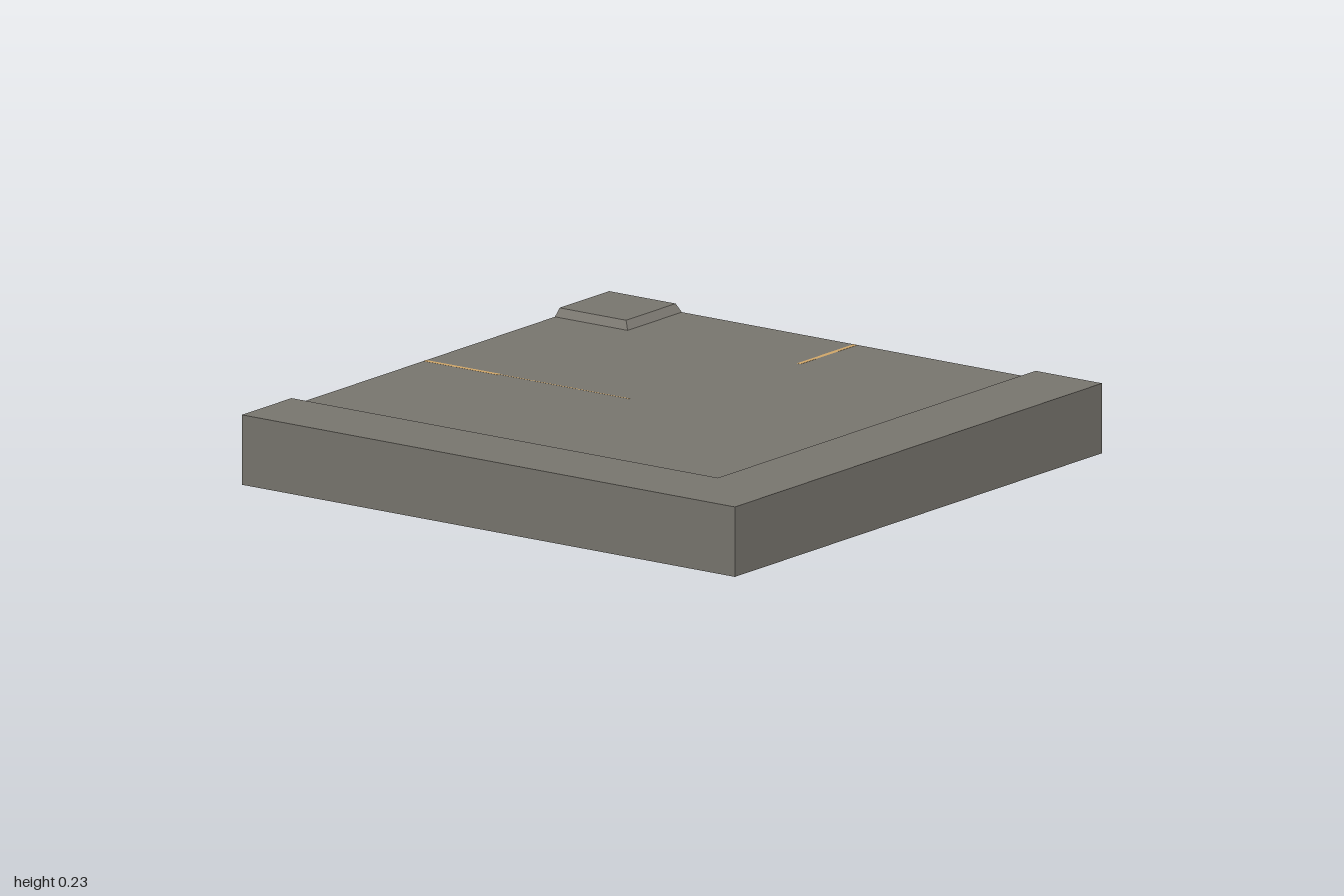
import * as THREE from 'three';

const ROAD = 0.21, TOP = 0.235, INNER = 0.705, OUTER = 0.73;

// Sweeps a four-point [offset, height] profile round a mitred corner and closes both ends.
function cornerSweep(profile, pathAt) {
  const rows = profile.map(([d, y]) => pathAt(d).map(([x, z]) => [x, y, z]));
  const pos = [];
  const quad = (a, b, c, d) => pos.push(...a, ...b, ...c, ...a, ...c, ...d);
  for (let i = 0; i < rows.length - 1; i++) {
    for (let j = 0; j < 2; j++) {
      quad(rows[i][j], rows[i][j + 1], rows[i + 1][j + 1], rows[i + 1][j]);
    }
  }
  quad(...rows.map(r => r[0]));
  quad(...rows.map(r => r[2]).reverse());
  const geo = new THREE.BufferGeometry();
  geo.setAttribute('position', new THREE.Float32BufferAttribute(pos, 3));
  geo.computeVertexNormals();
  return geo;
}

export function createModel() {
  const group = new THREE.Group();
  const stone = new THREE.MeshStandardMaterial({ color: 0x79766f });
  stone.name = 'grey stone';
  const tan = new THREE.MeshStandardMaterial({ color: 0xd2a869 });
  tan.name = 'tan line';

  const add = (name, geo, mat, x = 0, y = 0, z = 0) => {
    const mesh = new THREE.Mesh(geo, mat);
    mesh.name = name;
    mesh.position.set(x, y, z);
    group.add(mesh);
    return mesh;
  };
  const box = (w, h, d) => new THREE.BoxGeometry(w, h, d);

  // Slab with the sunken road surface on top
  add('roadSlab', box(2, ROAD, 2), stone, 0, ROAD / 2, 0);

  // Raised L-shaped pavement on the outside of the bend, with a sloped kerb
  add('outerPavement', cornerSweep(
    [[1, ROAD], [1, TOP], [OUTER, TOP], [INNER, ROAD]],
    d => [[-d, -1], [-d, d], [1, d]]), stone);

  // Small raised pavement block on the inside of the bend
  add('innerPavement', cornerSweep(
    [[INNER, ROAD], [OUTER, TOP], [1, TOP], [1, ROAD]],
    d => [[d, -1], [d, -d], [1, -d]]), stone);

  // Centre lines at the two road exits, running down the slab's ends
  const t = 0.0006;
  add('backCentreLine', box(0.016, t, 0.3), tan, -0.003, ROAD, -0.85);
  add('sideCentreLine', box(0.31, t, 0.016), tan, 0.845, ROAD, 0);
  add('backEndLine', box(0.016, ROAD, t), tan, -0.003, ROAD / 2, -1);
  add('sideEndLine', box(t, ROAD, 0.016), tan, 1, ROAD / 2, 0);
  // Hairline continuing towards the bend
  add('backHairline', box(0.004, t, 0.53), tan, -0.002, ROAD, -0.435);

  return group;
}
